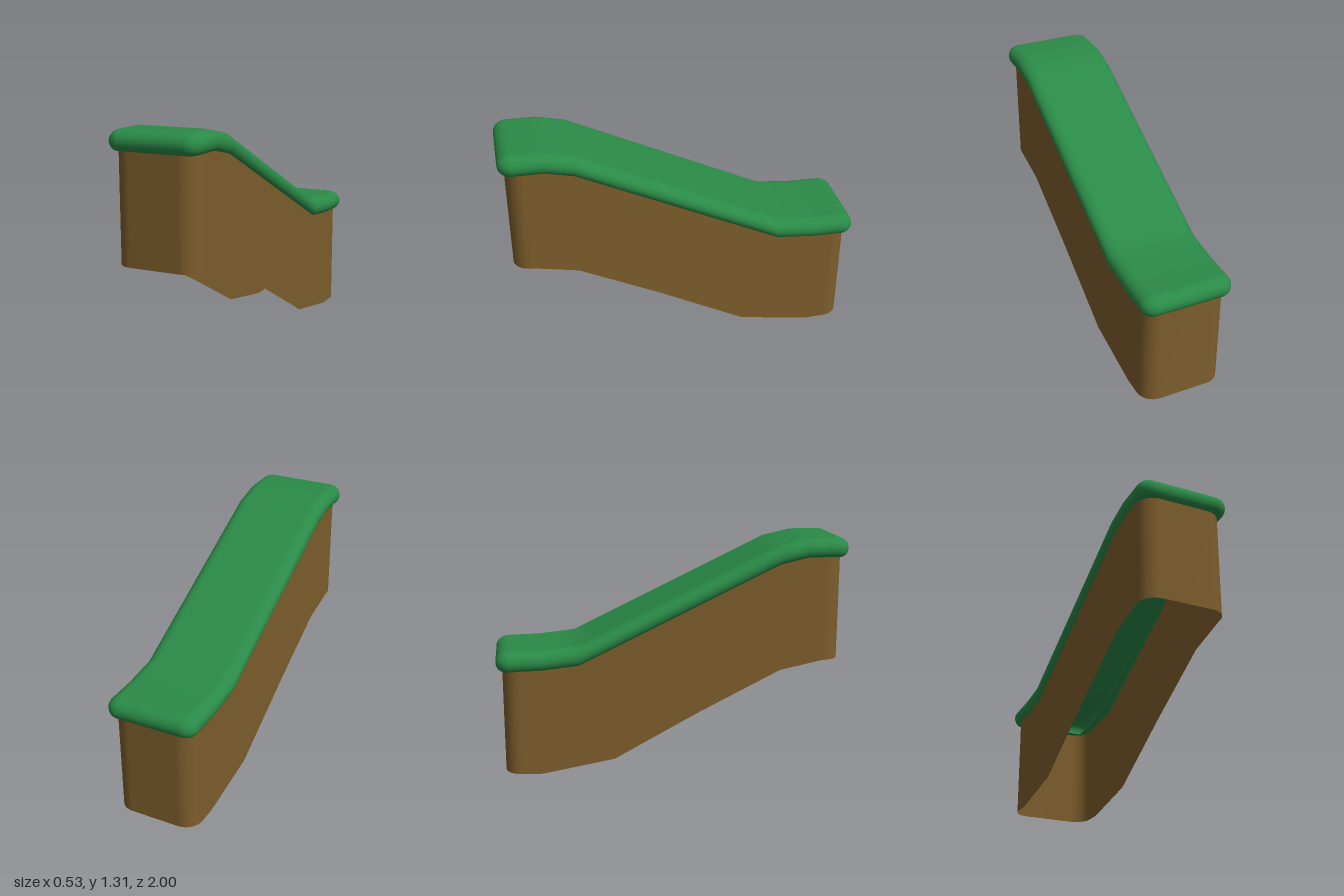
import * as THREE from 'three';

// Height curves as [z, y], front to back
const TOP = [[1, 1.31], [0.76, 1.31], [0.6, 1.275], [-0.54, 0.735], [-0.75, 0.715], [-1, 0.712]];
const BOTTOM = [[1, 0.605], [0.86, 0.605], [0.61, 0.555], [0.15, 0.33], [-0.35, 0.067], [-0.76, 0], [-1, 0.008]];

function heightAt(curve, z) {
  let i = 1;
  while (i < curve.length - 1 && z < curve[i][0]) i++;
  const [z0, y0] = curve[i - 1], [z1, y1] = curve[i];
  return y0 + (y1 - y0) * (z - z0) / (z1 - z0);
}

// Closed rounded-rectangle outline, symmetric in x, with stations along z
function outline(hx, hz, r, stations) {
  const half = [], steps = 8;
  for (let i = 0; i <= steps; i++) {
    const a = Math.PI / 2 * i / steps;
    half.push([hx - r + r * Math.sin(a), hz - r + r * Math.cos(a)]);
  }
  stations.forEach(z => half.push([hx, z]));
  for (let i = steps; i >= 0; i--) {
    const [x, z] = half[i];
    half.push([x, -z]);
  }
  return half.concat(half.map(([x, z]) => [-x, z]).reverse());
}

// Skin rings from bottom to top, optionally closing the last ring
function loft(rings, closeTop) {
  const n = rings[0].length, idx = [];
  for (let j = 0; j < rings.length - 1; j++) {
    for (let i = 0; i < n; i++) {
      const a = j * n + i, b = j * n + (i + 1) % n;
      idx.push(a, b, b + n, a, b + n, a + n);
    }
  }
  if (closeTop) {
    const base = (rings.length - 1) * n;
    for (let k = 0; k < n / 2 - 1; k++) {
      const a = base + k, b = a + 1, d = base + n - 1 - k, c = d - 1;
      idx.push(a, b, c, a, c, d);
    }
  }
  const g = new THREE.BufferGeometry();
  g.setAttribute('position', new THREE.Float32BufferAttribute(rings.flat(2), 3));
  g.setIndex(idx);
  g.computeVertexNormals();
  return g;
}

export function createModel() {
  const group = new THREE.Group();
  const green = new THREE.MeshStandardMaterial({ color: 0x2a8a47, side: THREE.DoubleSide });
  green.name = 'grass green';
  const brown = new THREE.MeshStandardMaterial({ color: 0x7c5d2b, side: THREE.DoubleSide });
  brown.name = 'earth brown';

  // Earth body: open shell of vertical walls between the two height curves
  const plan = outline(0.238, 0.965, 0.095, [0.86, 0.76, 0.61, 0.6, 0.15, -0.35, -0.54, -0.75, -0.76]);
  const body = new THREE.Mesh(loft([
    plan.map(([x, z]) => [x, heightAt(BOTTOM, z), z]),
    plan.map(([x, z]) => [x, heightAt(TOP, z) - 0.1, z]),
  ], false), brown);
  body.name = 'earthBody';
  group.add(body);

  // Grass covering: rounded rim profile as [inset, drop], from under the rim to the top
  const profile = [[0.072, 0.11]];
  const steps = 8;
  for (let i = 0; i <= 2 * steps; i++) {
    const a = Math.PI / 2 * (i / steps - 1);
    const [width, height] = i < steps ? [0.038, 0.05] : [0.07, 0.06];
    profile.push([width * (1 - Math.cos(a)), 0.06 - height * Math.sin(a)]);
  }
  const stations = [0.84, 0.76, 0.68, 0.6, 0.52, 0.2, -0.15, -0.46, -0.54, -0.62, -0.75, -0.84];
  const rings = profile.map(([inset, drop]) =>
    outline(0.263 - inset, 1 - inset, 0.075 - inset, stations)
      .map(([x, z]) => [x, heightAt(TOP, z) - drop, z]));
  const grass = new THREE.Mesh(loft(rings, true), green);
  grass.name = 'grassCover';
  group.add(grass);

  return group;
}
